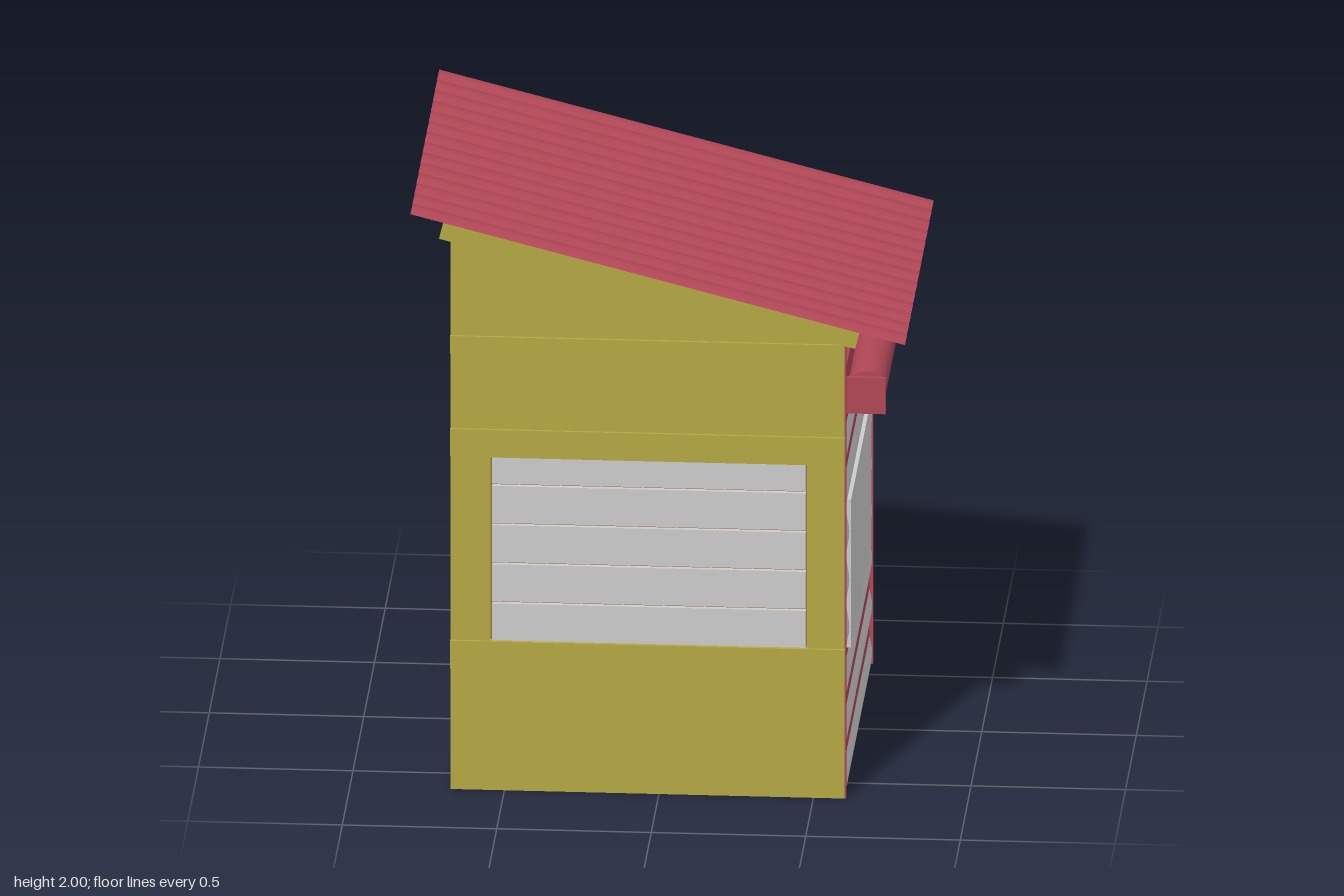
import * as THREE from 'three';

const paint = (color) => new THREE.MeshStandardMaterial({ color, side: THREE.DoubleSide });

export function createModel() {
  const model = new THREE.Group();
  const yellow = paint(0xb3a642), wood = paint(0xa07440), red = paint(0xb04656), grey = paint(0xcccccc);
  const floorGrey = paint(0x777a7a);

  const add = (name, geometry, material, parent = model) => {
    const mesh = new THREE.Mesh(geometry, material);
    mesh.name = name;
    parent.add(mesh);
    return mesh;
  };
  // Box given by its limits on each axis
  const box = (name, material, [x0, x1], [y0, y1], [z0, z1], parent) => {
    const mesh = add(name, new THREE.BoxGeometry(x1 - x0, y1 - y0, z1 - z0), material, parent);
    mesh.position.set((x0 + x1) / 2, (y0 + y1) / 2, (z0 + z1) / 2);
    return mesh;
  };

  // Wall outline with a sloping top
  const slope = -0.256;
  const topAt = (x) => 1.745 + slope * x;
  const outline = (x0, x1, y0) => new THREE.Shape([
    new THREE.Vector2(x0, y0), new THREE.Vector2(x1, y0),
    new THREE.Vector2(x1, topAt(x1)), new THREE.Vector2(x0, topAt(x0)),
  ]);
  const wall = (name, shape, material, z0, z1) => {
    const geometry = new THREE.ExtrudeGeometry(shape, { depth: z1 - z0, bevelEnabled: false });
    add(name, geometry, material).position.z = z0;
  };

  // Core, floor and side wall
  wall('core', outline(-0.66, 0.585, 0.01), wood, -0.62, 0.62);
  box('floor', floorGrey, [-0.66, 0.6], [0, 0.01], [-0.63, 0.63]);
  box('sideWall', yellow, [-0.675, -0.66], [0, topAt(-0.66)], [-0.64, 0.645]);

  // Window walls, boards, rafters and shutters on front and back
  for (const [side, s, material] of [['front', 1, yellow], ['back', -1, wood]]) {
    const range = (a, b) => (s > 0 ? [a, b] : [-b, -a]);
    const shape = outline(-0.66, 0.6, 0);
    shape.holes.push(new THREE.Path([
      new THREE.Vector2(-0.545, 0.5), new THREE.Vector2(-0.545, 1.16),
      new THREE.Vector2(0.48, 1.16), new THREE.Vector2(0.48, 0.5),
    ]));
    wall(side + 'Wall', shape, material, ...range(0.62, s > 0 ? 0.645 : 0.635));

    for (const [y0, y1] of [[0.42, 0.515], [1.15, 1.245], [1.505, 1.565]])
      box(side + 'Board', yellow, [-0.675, 0.602], [y0, y1], range(0.63, s > 0 ? 0.656 : 0.648));

    const rafter = box(side + 'Rafter', yellow, [-0.725, 0.665], [1.727, 1.785], range(0.62, 0.658));
    rafter.rotation.z = Math.atan(slope);

    const shutter = new THREE.Group();
    shutter.name = side + 'Shutter';
    model.add(shutter);
    for (let i = 0; i < 5; i++) {
      const y = 0.515 + i * 0.135;
      const [z0, z1] = s > 0 ? [0.625, 0.642] : [0.632, 0.669];
      box('slat', grey, s > 0 ? [-0.54, 0.475] : [-0.55, 0.468],
        [y, Math.min(y + 0.127, 1.15)], range(z0, z1), shutter);
    }
  }

  // Door side: red frame, header and backing sheet
  box('doorPostFront', red, [0.58, 0.606], [0, 1.585], [0.618, 0.643]);
  box('doorPostBack', red, [0.58, 0.606], [0, 1.585], [-0.628, -0.597]);
  box('doorHeader', red, [0.58, 0.603], [1.275, 1.47], [-0.6, 0.62]);
  box('upperPanel', yellow, [0.57, 0.59], [1.47, 1.57], [-0.6, 0.62]);
  box('doorBacking', red, [0.58, 0.5955], [0, 1.275], [-0.6, 0.62]);

  // Rippled roller door, red backing showing in the valleys
  const ripple = new THREE.PlaneGeometry(1.22, 1.27, 1, 96);
  ripple.rotateY(Math.PI / 2).translate(0, 0.635, 0.01);
  const rp = ripple.attributes.position;
  for (let i = 0; i < rp.count; i++)
    rp.setX(i, 0.599 - 0.005 * Math.cos(2 * Math.PI * (rp.getY(i) - 0.12) / 0.163));
  ripple.computeVertexNormals();
  add('rollerDoor', ripple, grey);
  box('signBoard', grey, [0.595, 0.61], [0.455, 0.965], [-0.485, 0.47]);

  // Roller drum with its spindle and end brackets
  const roller = new THREE.Group();
  roller.name = 'roller';
  roller.position.set(0.665, 1.372, 0);
  model.add(roller);
  const rod = (name, r, z0, z1) => {
    const geometry = new THREE.CylinderGeometry(r, r, z1 - z0, 32).rotateX(Math.PI / 2);
    add(name, geometry, red, roller).position.z = (z0 + z1) / 2;
  };
  rod('drum', 0.063, -0.628, 0.538);
  rod('spindle', 0.01, -0.67, 0.585);
  for (const z of [-0.674, 0.59])
    box('bracket', red, [-0.065, 0.065], [-0.062, 0.062], [z - 0.007, z + 0.007], roller);

  // Corrugated roof sheet with rounded ridges
  const ridges = 14, width = 1.335, steps = 10;
  const sheet = new THREE.PlaneGeometry(1.652, width, 1, ridges * steps).rotateX(-Math.PI / 2);
  const sp = sheet.attributes.position;
  for (let i = 0; i < sp.count; i++) {
    const t = (sp.getZ(i) / width + 0.5) * ridges;
    sp.setY(i, 0.013 * Math.abs(Math.sin(Math.PI * t)) - 0.009);
  }
  sheet.computeVertexNormals();
  const roof = add('roof', sheet, red);
  roof.rotation.z = Math.atan(slope);
  roof.position.set(0, 1.793, 0.0075);

  return model;
}
